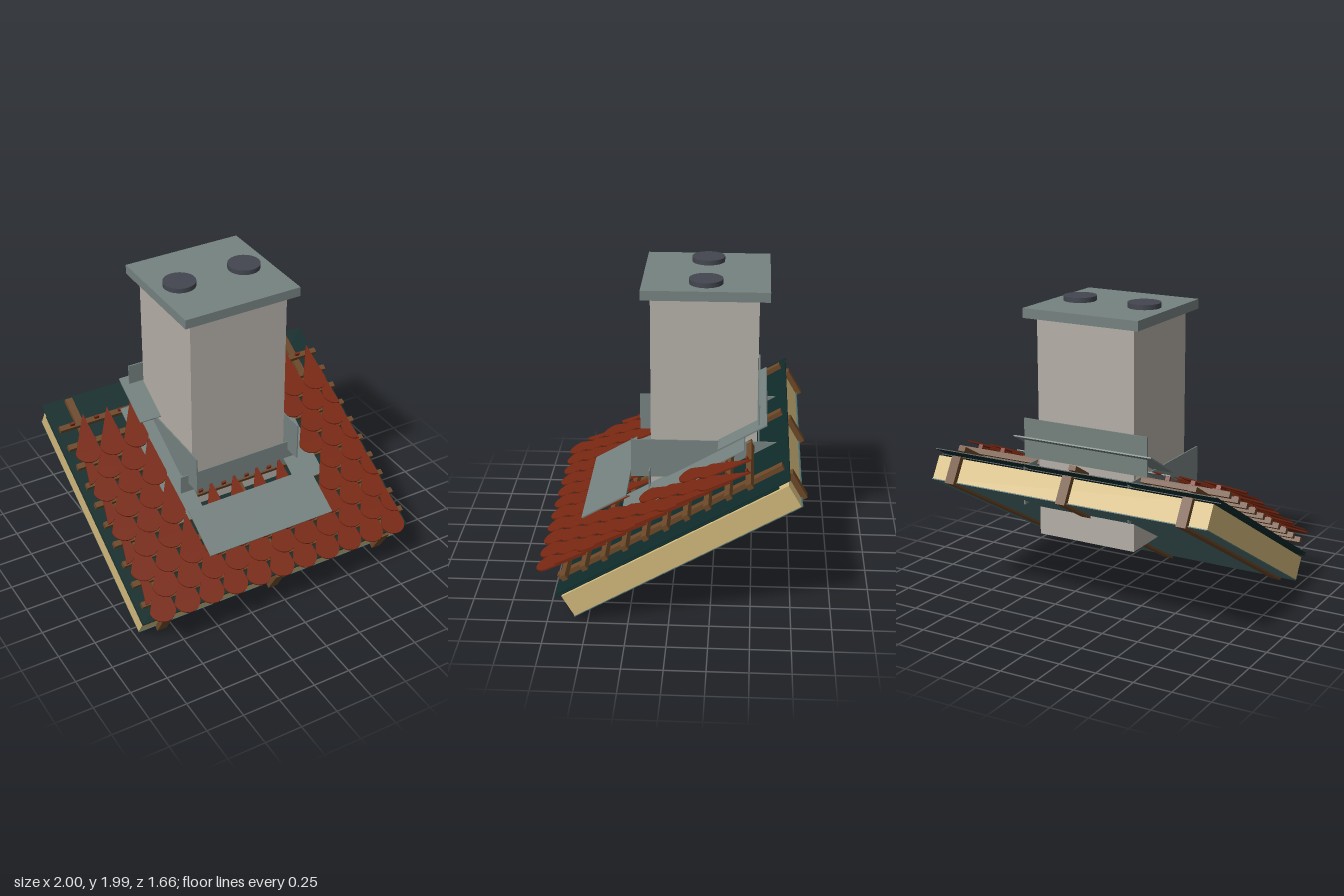
import * as THREE from 'three';

const mat = (name, color) => {
  const m = new THREE.MeshStandardMaterial({ color });
  m.name = name;
  return m;
};

export function createModel() {
  const model = new THREE.Group();
  model.name = 'roofWithChimney';
  const clay = mat('clayRed', 0x782710);
  const lead = mat('leadGrey', 0x75827f);
  const render = mat('chimneyRender', 0xb4afa7);
  const wood = mat('timberBrown', 0x6b4727);
  const wool = mat('insulationTan', 0xd2b97c);
  const underlay = mat('underlayDark', 0x0f2b2b);
  const vapour = mat('vapourTeal', 0x4c6e6e);
  const pot = mat('potDark', 0x434650);

  // Box given by its limits on each axis
  const box = (parent, name, m, x0, x1, y0, y1, z0, z1) => {
    const mesh = new THREE.Mesh(new THREE.BoxGeometry(x1 - x0, y1 - y0, z1 - z0), m);
    mesh.position.set((x0 + x1) / 2, (y0 + y1) / 2, (z0 + z1) / 2);
    mesh.name = name;
    parent.add(mesh);
    return mesh;
  };

  // Pitched roof: local y is the slope normal, local -z runs up the slope
  const roof = new THREE.Group();
  roof.name = 'roof';
  roof.position.z = 0.6;
  roof.rotation.x = Math.PI / 6;
  model.add(roof);
  const slab = (name, m, x0, x1, n0, n1, s0, s1) =>
    box(roof, name, m, x0, x1, n0, n1, -s1, -s0);

  // Layers from the inside out
  slab('vapourBarrier', vapour, -0.98, 0.98, 0.014, 0.02, 0.03, 1.625);
  slab('insulation', wool, -0.98, 0.98, 0.02, 0.176, 0.035, 1.615);
  for (const x of [-0.825, 0, 0.825]) {
    slab('rafter', wood, x - 0.033, x + 0.033, 0, 0.184, 0, 1.65);
    slab('counterBatten', wood, x - 0.025, x + 0.025, 0.226, 0.258, 0.035, 1.615);
  }
  slab('lowerUnderlay', underlay, -1, 1, 0.193, 0.198, 0.015, 1.56);
  slab('upperUnderlay', underlay, -1, 1, 0.208, 0.214, 0.015, 1.643);

  const pitch = 0.1437;
  const battenAt = (i) => 0.115 + pitch * i;
  for (let i = 0; i < 10; i++) {
    slab('tileBatten', wood, -0.98, 0.98, 0.26, 0.296, battenAt(i) - 0.018, battenAt(i) + 0.018);
  }

  // Round-ended tiles: side 0 is whole, -1 / 1 keeps the left / right half
  const W = 0.172, R = W / 2 - 0.001, L = 0.355;
  const tileGeometry = (side) => {
    const s = new THREE.Shape();
    const a0 = side > 0 ? Math.PI * 1.5 : Math.PI;
    const a1 = side < 0 ? Math.PI * 1.5 : Math.PI * 2;
    s.moveTo(side > 0 ? 0 : -R, L);
    s.absarc(0, R, R, a0, a1, false);
    s.lineTo(side < 0 ? 0 : R, L);
    s.closePath();
    const g = new THREE.ExtrudeGeometry(s, { depth: 0.01, bevelEnabled: false, curveSegments: 14 });
    return g.rotateX(-Math.PI / 2);
  };
  const whole = tileGeometry(0), leftHalf = tileGeometry(-1), rightHalf = tileGeometry(1);
  const lug = new THREE.BoxGeometry(0.03, 0.028, 0.014);
  const addTile = (row, x, geometry) => {
    const tile = new THREE.Mesh(geometry, clay);
    tile.name = 'roofTile';
    tile.position.set(x, 0.353, -(battenAt(row + 1) - 0.315));
    tile.rotation.x = -0.078;
    roof.add(tile);
    if (geometry === whole) {
      const nib = new THREE.Mesh(lug, clay);
      nib.name = 'tileLug';
      nib.position.set(x, 0.312, -battenAt(row + 1));
      roof.add(nib);
    }
  };
  const left = -0.98, right = left + 11 * W;
  for (let row = 0; row < 9; row++) {
    const odd = row % 2;
    for (let i = 0; i < 11 - odd; i++) {
      const x = left + (i + 0.5 + odd / 2) * W;
      const beside = odd ? x < -0.55 || x > 0.48 : x < -0.47 || x > 0.56;
      // Full courses below the chimney, plus one short course against its front
      const front = row < 3 || (row === 3 && Math.abs(x) < 0.32);
      if (beside || front) addTile(row, x, whole);
    }
    if (odd) {
      addTile(row, left, rightHalf);
      addTile(row, right, leftHalf);
    }
  }

  // Lead sheets lying on the slope
  slab('frontApron', lead, -0.46, 0.455, 0.371, 0.38, 0.233, 0.565);
  slab('backGutter', lead, -0.495, 0.49, 0.383, 0.392, 1.24, 1.587);
  for (const side of [-1, 1]) {
    const a = side * 0.34, b = side * 0.558;
    slab('sideGutter', lead, Math.min(a, b), Math.max(a, b), 0.33, 0.337, 0.52, 1.4);
  }

  // Chimney
  const chimney = new THREE.Group();
  chimney.name = 'chimney';
  chimney.position.x = -0.003;
  model.add(chimney);
  box(chimney, 'stack', render, -0.342, 0.342, 0.48, 1.895, -0.52, 0.148);
  box(chimney, 'capSlab', lead, -0.403, 0.403, 1.893, 1.955, -0.585, 0.205);
  for (const x of [-0.23, 0.23]) {
    const flue = new THREE.Mesh(new THREE.CylinderGeometry(0.105, 0.105, 0.032, 40), pot);
    flue.name = 'flueCover';
    flue.position.set(x, 1.97, -0.19);
    chimney.add(flue);
  }

  // Upright lead flashings around the stack
  box(chimney, 'frontUpstand', lead, -0.432, 0.432, 0.58, 0.77, 0.15, 0.158);
  box(chimney, 'backUpstand', lead, -0.442, 0.442, 0.985, 1.24, -0.536, -0.527);
  for (const x of [-0.374, 0.374]) {
    box(chimney, 'sideUpstand', lead, x - 0.004, x + 0.004, 0.71, 0.965, -0.65, 0.272);
  }
  return model;
}
